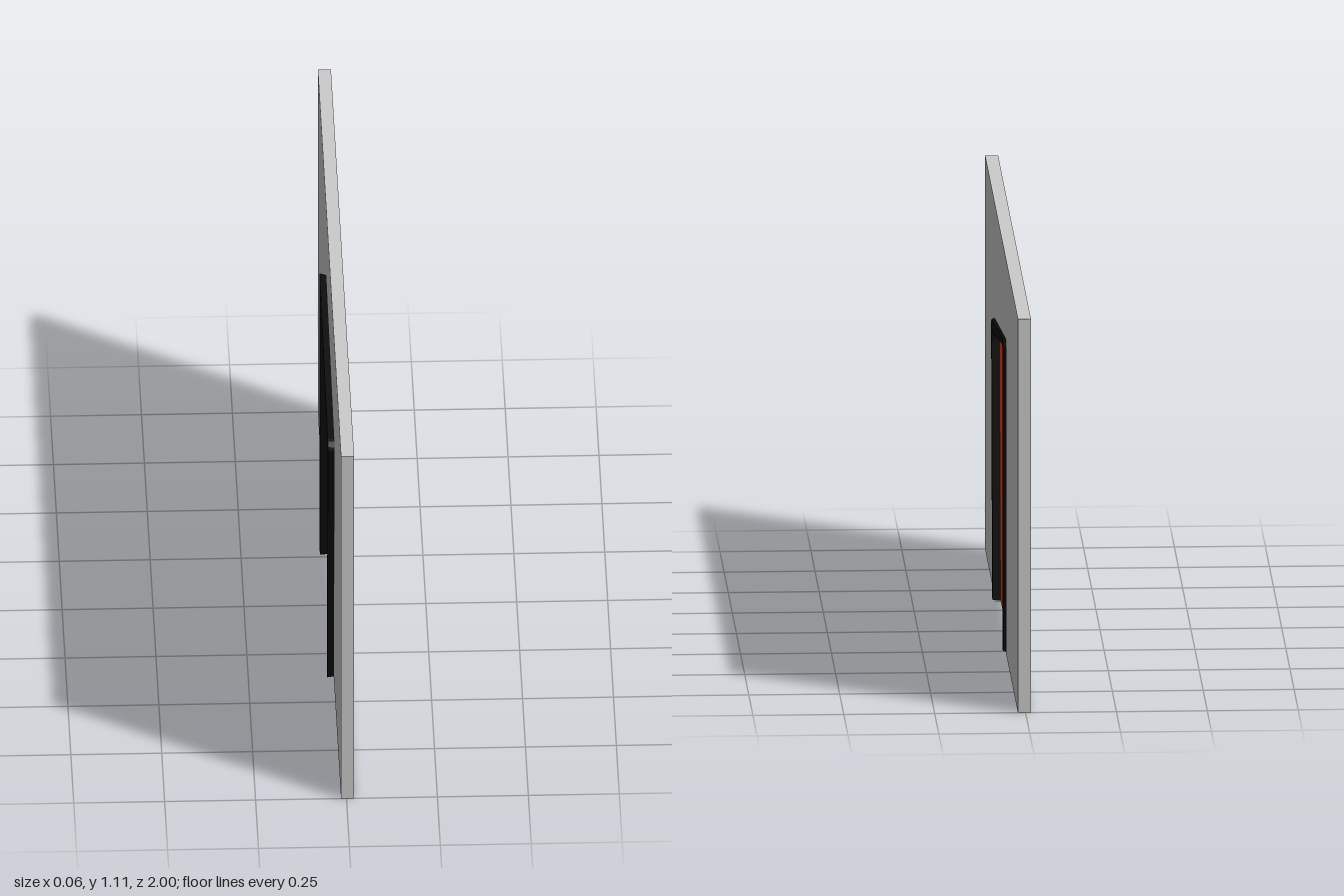
import * as THREE from 'three';

const mat = (color) => new THREE.MeshStandardMaterial({ color });

// Profiles are drawn as (u, y) with u = -z, then extruded along x from x0 to x1
function slab(name, shape, x0, x1, material) {
  const geo = new THREE.ExtrudeGeometry(shape, { depth: x1 - x0, bevelEnabled: false, curveSegments: 5 });
  const mesh = new THREE.Mesh(geo, material);
  mesh.name = name;
  mesh.rotation.y = Math.PI / 2;
  mesh.position.x = x0;
  return mesh;
}

const polygon = (pts) => new THREE.Shape(pts.map(([u, y]) => new THREE.Vector2(u, y)));

// Doorway outline from bottom left over the top to bottom right, upper corners rounded
function archPoints([bl, tl, tr, br], radius) {
  const v = [bl, tl, tr, br].map(([u, y]) => new THREE.Vector2(u, y));
  const toward = (a, b) => a.clone().add(b.clone().sub(a).setLength(radius));
  const pts = [v[0]];
  for (const i of [1, 2]) {
    const curve = new THREE.QuadraticBezierCurve(toward(v[i], v[i - 1]), v[i], toward(v[i], v[i + 1]));
    pts.push(...curve.getPoints(5));
  }
  pts.push(v[3]);
  return pts;
}

export function createModel() {
  const group = new THREE.Group();
  const grey = mat(0xcccccc), black = mat(0x0a0a0a), orange = mat(0xe64010);

  // Wall with a doorway notch reaching the floor
  group.add(slab('wall', polygon([
    [-1, 0], [-0.353, 0], [-0.412, 0.765], [0.272, 0.872], [0.272, 0],
    [1, 0], [1, 1.11], [-1, 1.11],
  ]), -0.015, 0.021, grey));

  // Door frame: an open-bottomed arch, slightly larger on its -x face
  const outer = archPoints([[-0.37, 0.01], [-0.43, 0.783], [0.29, 0.887], [0.29, 0.01]], 0.028);
  const inner = archPoints([[-0.334, 0.01], [-0.398, 0.755], [0.255, 0.866], [0.25, 0.01]], 0.028);
  const x0 = -0.033, x1 = 0.03;
  const frame = slab('doorFrame', new THREE.Shape([...outer, ...inner.reverse()]), x0, x1, black);
  const pos = frame.geometry.attributes.position;
  for (let i = 0; i < pos.count; i++) {
    const s = 1 + 0.025 * (1 - pos.getZ(i) / (x1 - x0));
    pos.setXY(i, -0.07 + (pos.getX(i) + 0.07) * s, 0.3 + (pos.getY(i) - 0.3) * s);
  }
  frame.geometry.computeVertexNormals();
  group.add(frame);

  // Two door leaves meeting at a vertical seam, their edges hidden in the frame
  const seam = -0.073, seamTop = 0.82;
  group.add(slab('frontDoorLeaf', polygon([
    [-0.35, 0.008], [seam, 0.008], [seam, seamTop], [-0.408, 0.766],
  ]), -0.006, 0.008, orange));
  group.add(slab('rearDoorLeaf', polygon([
    [seam, 0.008], [0.268, 0.008], [0.268, 0.873], [seam, seamTop],
  ]), -0.006, 0.008, orange));

  return group;
}
